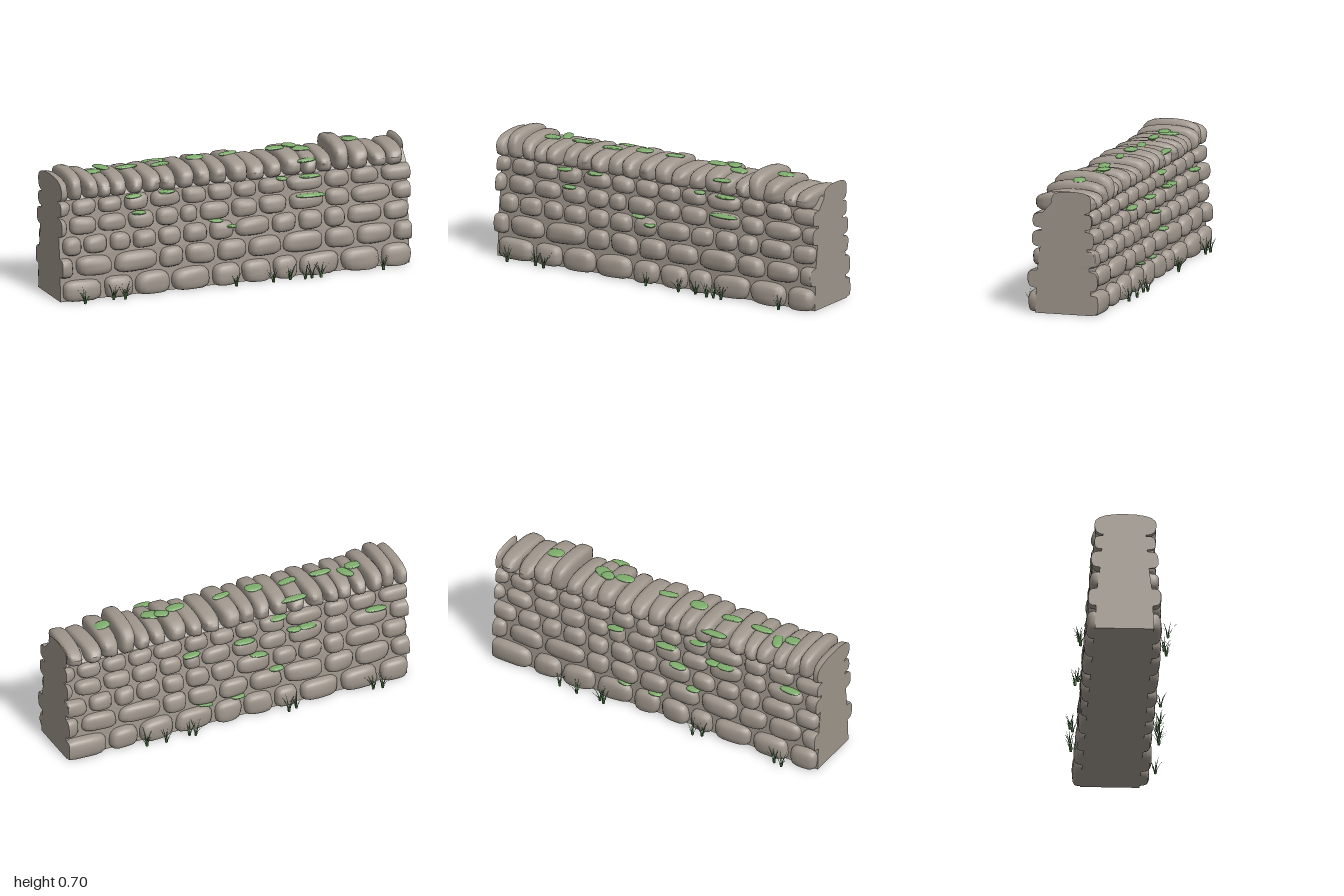
import * as THREE from 'three';
import { mergeGeometries, mergeVertices, toCreasedNormals } from 'three/addons/utils/BufferGeometryUtils.js';

let seed = 7;
const rand = () => (seed = (seed * 16807) % 2147483647) / 2147483647;
const vary = (a) => (rand() * 2 - 1) * a;

// Boulder: a rounded box shape, slightly uneven, trimmed at the wall ends and the ground
function blob({ c, h, power = 3.3, segs = 5, turn = 0, roll = 0, uneven = 0.05, slump = 0 }) {
  let g = new THREE.BoxGeometry(2, 2, 2, segs, segs, segs);
  g.deleteAttribute('uv');
  g.deleteAttribute('normal');
  g = mergeVertices(g);
  const pos = g.attributes.position, v = new THREE.Vector3();
  const a = rand() * 6, b = rand() * 6;
  for (let i = 0; i < pos.count; i++) {
    v.fromBufferAttribute(pos, i).normalize();
    const sum = Math.abs(v.x) ** power + Math.abs(v.y) ** power + Math.abs(v.z) ** power;
    const k = sum ** (-1 / power) * (1 + uneven * Math.sin(2.5 * v.x + a) * Math.cos(2.5 * v.y + b));
    v.multiplyScalar(k).multiply(new THREE.Vector3(...h));
    if (v.y > 0) v.y -= slump * v.z * v.z;
    v.applyEuler(new THREE.Euler(0, turn, roll));
    v.add(new THREE.Vector3(...c));
    pos.setXYZ(i, THREE.MathUtils.clamp(v.x, -1, 1), Math.max(v.y, 0), v.z);
  }
  return toCreasedNormals(g, 0.9);
}

// Courses: height range, core and outer half depth, joints along x in hundredths
const COURSES = [
  { y: [-0.01, 0.118], core: 0.15, out: 0.207, joints: [-100, -76, -58, -37, -14, 3, 21, 36, 60, 83, 101] },
  { y: [0.128, 0.24], core: 0.143, out: 0.198, joints: [-104, -92, -70, -44, -29, -11, 7, 27, 51, 69, 90, 106] },
  { y: [0.246, 0.349], core: 0.13, out: 0.187, joints: [-99, -87, -72, -59, -44, -30, -15, 0, 21, 36, 51, 64, 85, 101] },
  { y: [0.356, 0.452], core: 0.12, out: 0.176, joints: [-108, -95, -78, -61, -45, -31, -20, -2, 14, 31, 52, 67, 90, 108] },
  { y: [0.46, 0.548], core: 0.115, out: 0.168, joints: [-106, -93, -78, -63, -48, -30, -15, 0, 14, 30, 52, 67, 84, 106] },
];

// Coping: joints along x and top of each stone, in hundredths
const COPING_X = [-104, -94.5, -86.5, -78, -70, -60.5, -52, -42, -32, -22, -12.5, -3, 8, 18.5, 28, 39.5, 48.5, 57.5, 67, 78, 88, 98, 107];
const COPING_TOP = [67, 69.5, 67.5, 65.5, 66, 66, 66, 65.5, 66.5, 67, 66, 67, 65, 65, 67, 65.5, 65, 70.5, 67.5, 64.5, 65, 66.5];

export function createModel() {
  seed = 7;
  const wall = new THREE.Group();
  wall.name = 'dryStoneWall';
  const stone = new THREE.MeshStandardMaterial({ color: 0xa0978d });
  stone.name = 'grey stone';
  const moss = new THREE.MeshStandardMaterial({ color: 0x7fae6d });
  moss.name = 'moss green';
  const grass = new THREE.MeshStandardMaterial({ color: 0x567f4d, side: THREE.DoubleSide });
  grass.name = 'grass green';
  const add = (name, geos, mat) => {
    const mesh = new THREE.Mesh(Array.isArray(geos) ? mergeGeometries(geos) : geos, mat);
    mesh.name = name;
    wall.add(mesh);
  };

  // Tapered core that fills the joints
  const half = [[0.158, 0], [0.145, 0.24], [0.125, 0.4], [0.115, 0.546], [0.06, 0.61]];
  const outline = [...half, ...half.map(([z, y]) => [-z, y]).reverse()].map(([z, y]) => new THREE.Vector2(z, y));
  const core = new THREE.ExtrudeGeometry(new THREE.Shape(outline), { depth: 2, bevelEnabled: false });
  core.rotateY(Math.PI / 2).translate(-1, 0, 0);
  add('wallCore', core, stone);

  // Face stones, front and back; the back ones run past the right end and are cut flush
  for (const side of [1, -1]) {
    COURSES.forEach(({ y, core: inner, out, joints }, row) => {
      const stones = [];
      for (let i = 0; i < joints.length - 1; i++) {
        const [x0, x1] = side > 0 ? [joints[i], joints[i + 1]] : [-joints[i + 1], -joints[i] + (i ? 0 : 5)];
        const depth = out - inner + vary(0.006) - (side < 0 ? 0.007 : 0);
        stones.push(blob({
          c: [(x0 + x1) / 200, (y[0] + y[1]) / 2, side * inner],
          h: [(x1 - x0) / 200 - 0.011, (y[1] - y[0]) / 2 - rand() * 0.005, depth],
          roll: vary(0.03), turn: vary(0.05),
        }));
      }
      add(`${side > 0 ? 'front' : 'back'}Course${row + 1}`, stones, stone);
    });
  }

  // Upright coping stones across the top, the last one set back from the front
  add('copingStones', COPING_TOP.map((top, i) => {
    const x0 = COPING_X[i] / 100, x1 = COPING_X[i + 1] / 100, t = top / 100;
    const last = i === COPING_TOP.length - 1;
    return blob({
      c: [(x0 + x1) / 2, (t + 0.543) / 2, last ? -0.045 : 0.005 + vary(0.005)],
      h: [(x1 - x0) / 2 - 0.003, (t - 0.543) / 2, last ? 0.11 : 0.165 + vary(0.006)],
      power: 4, segs: 6, turn: vary(0.06), roll: vary(0.03), uneven: 0.03, slump: 0.6,
    });
  }), stone);

  // Moss on the coping: x, z, half length, half depth, turn
  const topMoss = [[-0.75, 0, 0.045, 0.032, 0.1], [-0.685, -0.05, 0.028, 0.055, 0.4], [-0.56, 0, 0.065, 0.024, 0.05],
    [-0.37, 0.005, 0.055, 0.025, 0.2], [-0.34, -0.135, 0.08, 0.024, 0], [-0.17, 0, 0.05, 0.036, 0], [0.02, 0, 0.055, 0.022, 0.2],
    [0.29, 0, 0.055, 0.03, 0.1], [0.38, -0.025, 0.04, 0.032, -0.5], [0.43, 0.01, 0.055, 0.038, -0.4],
    [0.41, 0.15, 0.055, 0.022, 0.1], [0.72, 0, 0.045, 0.036, 0.2]];
  add('copingMoss', topMoss.map(([x, z, hx, hz, turn]) => {
    const i = COPING_X.findIndex((j) => j / 100 > x) - 1;
    const y = COPING_TOP[i] / 100 - 0.6 * z * z - (Math.abs(z) > 0.1 ? 0.012 : 0);
    return blob({ c: [x, y, z], h: [hx, 0.009, hz], power: 2.4, segs: 4, turn, roll: vary(0.06) });
  }), moss);

  // Moss on the ledges: x, y, z, half length
  const ledgeMoss = [[-0.58, 0.54, 0.15, 0.045], [-0.39, 0.543, 0.15, 0.045], [0.27, 0.543, 0.15, 0.03], [0.43, 0.54, 0.15, 0.06],
    [-0.55, 0.446, 0.155, 0.04], [0.43, 0.438, 0.168, 0.085], [-0.11, 0.355, 0.158, 0.04], [-0.03, 0.32, 0.175, 0.03],
    [0.26, 0.446, -0.147, 0.05], [-0.05, 0.446, -0.147, 0.06], [-0.25, 0.54, -0.142, 0.05], [-0.34, 0.446, -0.147, 0.04],
    [-0.42, 0.446, -0.147, 0.05], [-0.82, 0.446, -0.147, 0.06], [-0.13, 0.35, -0.155, 0.05], [-0.23, 0.24, -0.163, 0.04],
    [0.19, 0.132, -0.17, 0.04], [0, 0.132, -0.17, 0.04]];
  add('ledgeMoss', ledgeMoss.map(([x, y, z, hx]) =>
    blob({ c: [x, y, z], h: [hx, 0.009, 0.026], power: 2.4, segs: 4, roll: vary(0.08) })), moss);

  // Grass tufts at the foot: x, z
  const tufts = [[-0.89, 0.235], [-0.72, 0.22], [-0.66, 0.235], [-0.02, 0.23], [0.19, 0.235], [0.29, 0.225], [0.37, 0.24],
    [0.41, 0.235], [0.46, 0.24], [0.82, 0.235], [-0.82, -0.235], [-0.77, -0.225], [-0.32, -0.22], [-0.27, -0.235],
    [0.28, -0.24], [0.31, -0.225], [0.45, -0.235], [0.56, -0.225]];
  const blades = [];
  for (const [x, z] of tufts) {
    const n = 7, start = rand() * 6;
    for (let i = 0; i < n; i++) {
      const blade = new THREE.PlaneGeometry(1, 1, 1, 3);
      const p = blade.attributes.position;
      const height = 0.055 + rand() * 0.042, lean = 0.024 + rand() * 0.026;
      for (let k = 0; k < p.count; k++) {
        const t = p.getY(k) + 0.5;
        p.setXYZ(k, p.getX(k) * 0.01 * (1 - t * 0.97), t * height, 0.005 + lean * t * t);
      }
      blade.rotateY(start + (i / n) * Math.PI * 2 + vary(0.3)).translate(x, 0, z);
      blade.computeVertexNormals();
      blades.push(blade);
    }
  }
  add('grassTufts', blades, grass);
  return wall;
}
